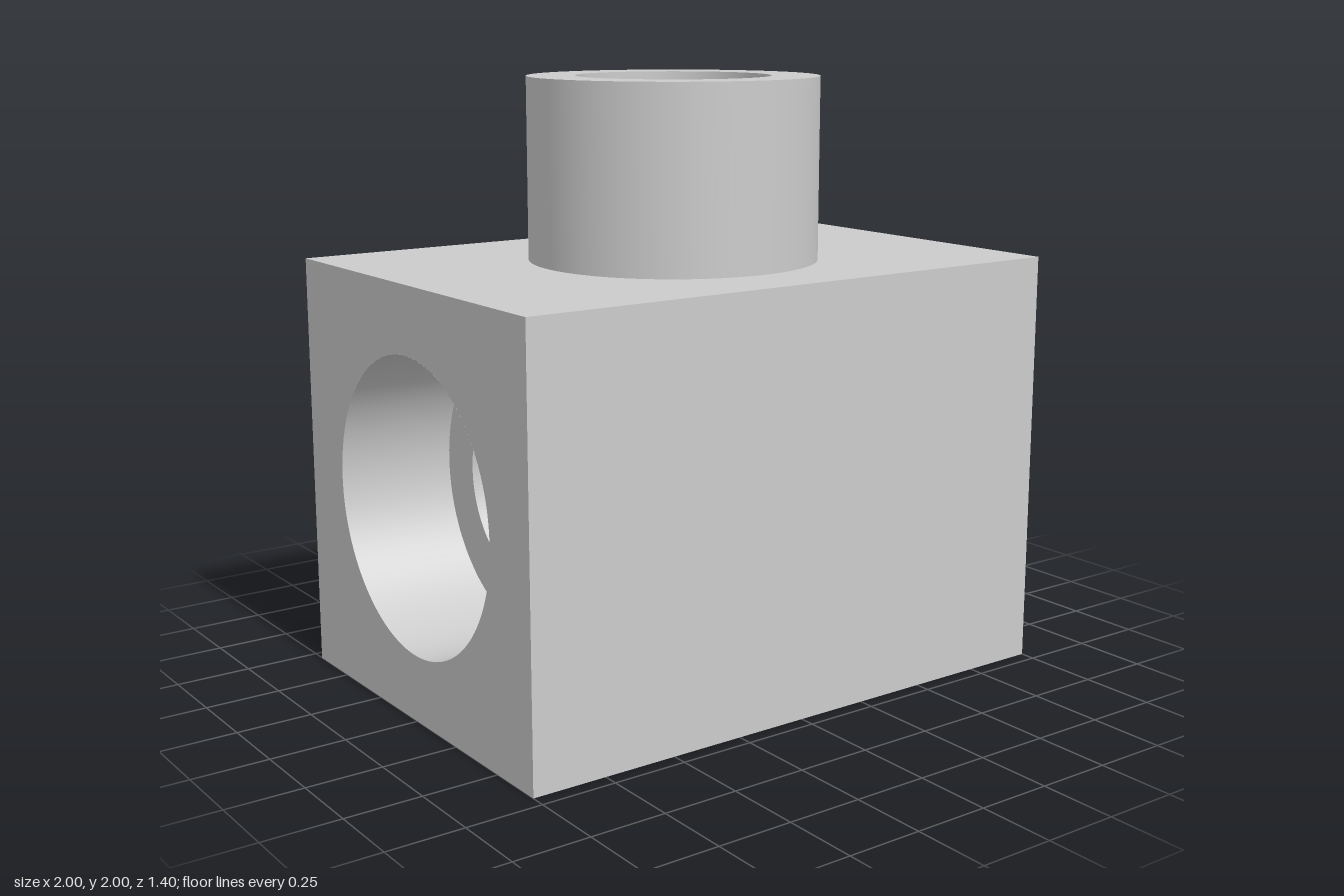
import * as THREE from 'three';

const W = 2, S = 1.4, AXIS = 0.7, TOP = 2;  // block length, block section, bore height, overall height
const R = 0.48, r = 0.32, STEP = 0.6;       // wide radius, narrow radius, x of the counterbore floors
const SEG = 96, PI = Math.PI;

// Smooth surface from a rule (u, v) -> [x, y, z]
function grid(rule, nu, nv = 1) {
  const pos = [], idx = [];
  for (let i = 0; i <= nu; i++) {
    for (let j = 0; j <= nv; j++) {
      pos.push(...rule(i / nu, j / nv));
      if (i < nu && j < nv) {
        const a = i * (nv + 1) + j, b = a + nv + 1;
        idx.push(a, a + 1, b, b, a + 1, b + 1);
      }
    }
  }
  const g = new THREE.BufferGeometry();
  g.setAttribute('position', new THREE.Float32BufferAttribute(pos, 3));
  g.setIndex(idx);
  g.computeVertexNormals();
  return g;
}

// Flat rectangle facing +z, with an optional round hole in the middle
function panel(w, h, hole) {
  const s = new THREE.Shape();
  s.moveTo(-w / 2, -h / 2).lineTo(w / 2, -h / 2).lineTo(w / 2, h / 2).lineTo(-w / 2, h / 2).closePath();
  if (hole) s.holes.push(new THREE.Path().absarc(0, 0, hole, 0, 2 * PI, true));
  return new THREE.ShapeGeometry(s, SEG);
}

// Distance from the vertical axis to the edge where the drill cone breaks into the bore
const edge = (t) => r / Math.sqrt(1 + Math.sin(t) ** 2);

export function createModel() {
  const group = new THREE.Group();
  const mat = new THREE.MeshStandardMaterial({ color: 0xcccccc, side: THREE.DoubleSide });
  const add = (name, geo) => {
    const m = new THREE.Mesh(geo, mat);
    m.name = name;
    group.add(m);
  };

  // Block faces
  add('frontFace', panel(W, S).translate(0, AXIS, S / 2));
  add('backFace', panel(W, S).rotateY(PI).translate(0, AXIS, -S / 2));
  add('bottomFace', panel(W, S).rotateX(PI / 2));
  add('topFace', panel(W, S, R).rotateX(-PI / 2).translate(0, S, 0));

  // Boss with its vertical hole, ending in a 45 degree drill cone
  add('bossWall', new THREE.CylinderGeometry(R, R, TOP - S, SEG, 1, true).translate(0, (TOP + S) / 2, 0));
  add('bossRim', new THREE.RingGeometry(r, R, SEG).rotateX(-PI / 2).translate(0, TOP, 0));
  add('verticalHole', grid((u, v) => {
    const t = u * 2 * PI;
    return [r * Math.cos(t), TOP + (AXIS + r - TOP) * v, r * Math.sin(t)];
  }, SEG));
  add('drillCone', grid((u, v) => {
    const t = u * 2 * PI, d = r + (edge(t) - r) * v;
    return [d * Math.cos(t), AXIS + d, d * Math.sin(t)];
  }, SEG));

  // Both ends of the horizontal passage
  for (const s of [1, -1]) {
    const side = s > 0 ? 'left' : 'right';
    add(side + 'EndFace', panel(S, S, R).rotateY(s * PI / 2).translate(s * W / 2, AXIS, 0));
    add(side + 'Counterbore', grid((u, v) => {
      const a = s * u * 2 * PI;
      return [s * (STEP + (W / 2 - STEP) * v), AXIS + R * Math.cos(a), R * Math.sin(a)];
    }, SEG));
    add(side + 'CounterboreFloor',
      new THREE.RingGeometry(r, R, SEG).rotateY(s * PI / 2).translate(s * STEP, AXIS, 0));

    // Half of the narrow bore: first along the opening above, then around the underside
    add(side + 'Bore', grid((u, v) => {
      let a, x = 0;
      if (u < 0.5) {
        const t = (2 * u - 0.5) * PI;
        a = Math.asin(edge(t) * Math.sin(t) / r);
        x = edge(t) * Math.cos(t);
      } else {
        a = PI / 4 + (2 * u - 1) * 1.5 * PI;
      }
      return [s * (x + (STEP - x) * v), AXIS + r * Math.cos(a), s * r * Math.sin(a)];
    }, SEG * 2));
  }
  return group;
}
